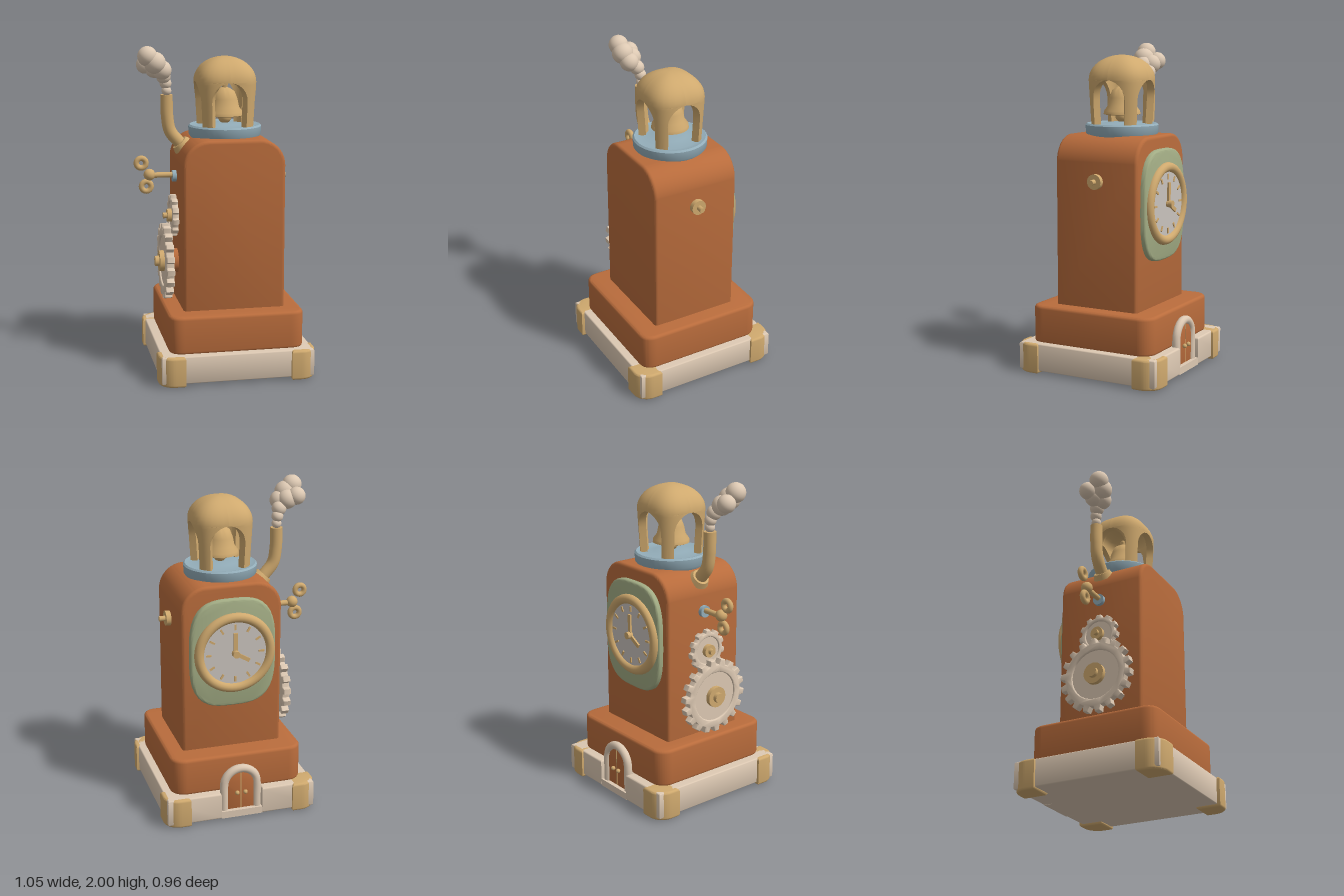
import * as THREE from 'three';
import { toCreasedNormals } from 'three/addons/utils/BufferGeometryUtils.js';

const C = 0.035; // x of the tower's axis

const paint = (name, color) => Object.assign(new THREE.MeshStandardMaterial({ color }), { name });

// Rounded rectangle; radii for the upper and lower corners
function roundRect(w, h, rt, rb = rt) {
  const s = new THREE.Shape(), x = w / 2, y = h / 2;
  s.moveTo(-x + rb, -y);
  s.lineTo(x - rb, -y);
  s.quadraticCurveTo(x, -y, x, -y + rb);
  s.lineTo(x, y - rt);
  s.absarc(x - rt, y - rt, rt, 0, Math.PI / 2, false);
  s.lineTo(-x + rt, y);
  s.absarc(-x + rt, y - rt, rt, Math.PI / 2, Math.PI, false);
  s.lineTo(-x, -y + rb);
  s.quadraticCurveTo(-x, -y, -x + rb, -y);
  return s;
}

// Centred extrusion along z whose bevel stays inside the outline
function slab(shape, depth, bevel) {
  const g = new THREE.ExtrudeGeometry(shape, {
    depth: depth - 2 * bevel, bevelEnabled: true, bevelThickness: bevel,
    bevelSize: bevel, bevelOffset: -bevel, bevelSegments: 4, curveSegments: 14,
  });
  g.translate(0, 0, bevel - depth / 2);
  return toCreasedNormals(g, 0.7);
}
const upright = (shape, height, bevel) => slab(shape, height, bevel).rotateX(-Math.PI / 2);
const rodX = (r, len, r2 = r) => new THREE.CylinderGeometry(r, r2, len, 24).rotateZ(Math.PI / 2);
const lathe = (pts) => toCreasedNormals(
  new THREE.LatheGeometry(pts.map(([r, y]) => new THREE.Vector2(r, y)), 40), 0.7);

// Toothed wheel facing along x
function gearGeometry(radius, teeth, thick) {
  const s = new THREE.Shape(), step = Math.PI * 2 / teeth, root = radius * 0.86;
  for (let i = 0; i < teeth; i++) {
    [[0.05, root], [0.4, root], [0.52, radius], [0.93, radius]].forEach(([f, r], k) => {
      const a = (i + f) * step;
      s[i + k ? 'lineTo' : 'moveTo'](r * Math.cos(a), r * Math.sin(a));
    });
  }
  const hole = new THREE.Path();
  hole.absarc(0, 0, radius * 0.66, 0, Math.PI * 2, true);
  s.holes.push(hole);
  return slab(s, thick, 0.007).rotateY(-Math.PI / 2);
}

// One quarter of the bell cage: a leg widening into an arch and a dome sector
function cageQuarter() {
  const rows = [], n = 10, pos = [], idx = [];
  for (const y of [1.5, 1.58, 1.66, 1.69, 1.72, 1.745, 1.765, 1.777, 1.78]) {
    const t = Math.max(0, (y - 1.66) / 0.12);
    const w = Math.PI / 4 - 0.585 * Math.sqrt(Math.max(0, 1 - t * t));
    const hw = 0.17 + 0.015 * (y - 1.5) / 0.28;
    rows.push([hw, y, hw - 0.04, y, w]);
  }
  for (let i = 1; i <= 12; i++) {
    const a = i / 12 * Math.PI / 2, c = Math.cos(a), s = Math.sin(a);
    rows.push([0.185 * c, 1.78 + 0.15 * s, 0.145 * c, 1.78 + 0.11 * s, Math.PI / 4]);
  }
  const put = (r, y, a) => {
    const k = r / Math.pow(Math.abs(Math.cos(a)) ** 3 + Math.abs(Math.sin(a)) ** 3, 1 / 3);
    pos.push(k * Math.cos(a), y, k * Math.sin(a));
  };
  for (const [ro, yo, ri, yi, w] of rows) {
    for (let j = 0; j < n; j++) put(ro, yo, Math.PI / 4 + w * (2 * j / (n - 1) - 1));
    for (let j = 0; j < n; j++) put(ri, yi, Math.PI / 4 + w * (1 - 2 * j / (n - 1)));
  }
  const m = 2 * n;
  for (let i = 0; i < rows.length - 1; i++) {
    for (let j = 0; j < m; j++) {
      const a = i * m + j, b = i * m + (j + 1) % m;
      idx.push(a, a + m, b, b, a + m, b + m);
    }
  }
  const g = new THREE.BufferGeometry();
  g.setAttribute('position', new THREE.Float32BufferAttribute(pos, 3));
  g.setIndex(idx);
  return toCreasedNormals(g, 0.7);
}

export function createModel() {
  const model = new THREE.Group();
  model.name = 'clockTower';
  const brown = paint('copper brown', 0xb96c3c), brass = paint('brass', 0xcfa96e);
  const cream = paint('cream', 0xdcc8b2), green = paint('sage green', 0xa3ad85);
  const blue = paint('grey blue', 0x93adb9), grey = paint('dial grey', 0xc9c3bd);
  const add = (name, geo, mat, x = 0, y = 0, z = 0) => {
    const m = new THREE.Mesh(geo, mat);
    m.name = name;
    m.position.set(x, y, z);
    model.add(m);
    return m;
  };

  // Plinth with a doorway notch at the back, and four corner caps
  const plan = new THREE.Shape();
  [[-0.467, -0.462], [0.467, -0.462], [0.467, 0.468], [0.13, 0.468], [0.13, 0.42],
    [-0.13, 0.42], [-0.13, 0.468], [-0.467, 0.468]].forEach(([x, y], i) => plan[i ? 'lineTo' : 'moveTo'](x, y));
  add('plinth', upright(plan, 0.17, 0.012), cream, C, 0.1, 0);
  add('doorSill', new THREE.BoxGeometry(0.262, 0.045, 0.06), cream, C, 0.038, -0.437);
  const cap = new THREE.Shape();
  cap.moveTo(0.325, 0.325);
  cap.lineTo(0.482, 0.325);
  cap.lineTo(0.482, 0.385);
  cap.absarc(0.385, 0.385, 0.097, 0, Math.PI / 2, false);
  cap.lineTo(0.325, 0.482);
  const capGeo = upright(cap, 0.185, 0.015);
  for (let i = 0; i < 4; i++) add('cornerCap', capGeo, brass, C, 0.0925, 0).rotation.y = i * Math.PI / 2;

  // Brown blocks
  add('lowerBlock', upright(roundRect(0.83, 0.825, 0.09), 0.235, 0.02), brown, 0.04, 0.295, 0);
  add('tower', slab(roundRect(0.625, 1.06, 0.16, 0.015), 0.555, 0.02), brown, 0.0425, 0.92, 0.005);

  // Arched door
  const door = new THREE.Shape();
  door.moveTo(-0.1, 0.05);
  door.lineTo(0.1, 0.05);
  door.lineTo(0.1, 0.22);
  door.absarc(0, 0.22, 0.1, 0, Math.PI, false);
  add('door', slab(door, 0.03, 0.004), brown, C, 0, -0.425);
  add('doorSeam', new THREE.BoxGeometry(0.006, 0.24, 0.004), brass, C, 0.18, -0.44);
  const frame = [[-0.105, 0.04], [-0.105, 0.13], [-0.105, 0.21]];
  for (let i = 1; i <= 8; i++) {
    const a = Math.PI * (1 - i / 8);
    frame.push([0.105 * Math.cos(a), 0.22 + 0.105 * Math.sin(a)]);
  }
  frame.push([0.105, 0.13], [0.105, 0.04]);
  const framePath = new THREE.CatmullRomCurve3(frame.map(([x, y]) => new THREE.Vector3(x, y, 0)));
  add('doorFrame', new THREE.TubeGeometry(framePath, 48, 0.026, 12), cream, C, 0, -0.43);
  for (const s of [-1, 1]) add('doorKnob', new THREE.SphereGeometry(0.014, 14, 10), brass, C + s * 0.026, 0.17, -0.45);

  // Clock: backing plate, dial, rim, marks and hands
  const plate = new THREE.Shape();
  for (let i = 0; i < 56; i++) {
    const a = i / 56 * Math.PI * 2, c = Math.cos(a), s = Math.sin(a);
    const k = Math.pow(Math.abs(c) ** 3.2 + Math.abs(s) ** 3.2, -1 / 3.2);
    plate[i ? 'lineTo' : 'moveTo'](0.268 * k * c, 0.34 * k * s);
  }
  const Y = 1.035;
  add('clockPlate', slab(plate, 0.06, 0.018), green, 0.042, 1.03, -0.275);
  add('dial', new THREE.CylinderGeometry(0.22, 0.22, 0.02, 48).rotateX(Math.PI / 2), grey, C, Y, -0.305);
  add('clockRim', new THREE.TorusGeometry(0.222, 0.03, 14, 56), brass, C, Y, -0.306);
  for (let i = 0; i < 12; i++) {
    const a = i * Math.PI / 6;
    add('hourMark', new THREE.BoxGeometry(0.012, 0.034, 0.008), brass,
      C + 0.165 * Math.sin(a), Y + 0.165 * Math.cos(a), -0.317).rotation.z = -a;
  }
  const hand = (name, len, a) => {
    const g = new THREE.BoxGeometry(0.024, len, 0.012).translate(0, len / 2 - 0.02, 0);
    add(name, g, brass, C, Y, -0.324).rotation.z = a;
  };
  hand('minuteHand', 0.15, 0);
  hand('hourHand', 0.12, 2.1);
  add('handPin', new THREE.CylinderGeometry(0.022, 0.022, 0.045, 20).rotateX(Math.PI / 2), brass, C, Y, -0.328);

  // Bell stage, cage and bell
  add('bellStage', lathe([[0, 1.43], [0.205, 1.43], [0.222, 1.455], [0.225, 1.505], [0.215, 1.515],
    [0.17, 1.505], [0.1, 1.518], [0, 1.526]]), blue, C);
  const quarter = cageQuarter();
  for (let i = 0; i < 4; i++) add('bellCage', quarter, brass, C).rotation.y = i * Math.PI / 2;
  add('bell', lathe([[0, 1.585], [0.1, 1.565], [0.113, 1.57], [0.11, 1.59], [0.088, 1.62], [0.078, 1.67],
    [0.06, 1.715], [0.03, 1.735], [0.017, 1.74], [0.02, 1.765], [0.012, 1.775], [0, 1.776]]), brass, C);
  add('clapper', new THREE.SphereGeometry(0.042, 20, 14), brass, C, 1.56, 0);

  // Chimney pipe, its collar and open mouth
  const bend = new THREE.CatmullRomCurve3([[-0.2, 1.36], [-0.255, 1.415], [-0.305, 1.48], [-0.322, 1.57], [-0.325, 1.7]]
    .map(([x, y]) => new THREE.Vector3(x, y, 0)));
  add('chimney', new THREE.TubeGeometry(bend, 30, 0.038, 20), brass);
  add('chimneyMouth', new THREE.CylinderGeometry(0.038, 0.038, 0.006, 20), brass, -0.325, 1.698, 0);
  add('chimneyCollar', new THREE.CylinderGeometry(0.052, 0.066, 0.035, 24), brass, -0.236, 1.395, 0).rotation.z = 0.75;

  // Steam puffs
  [[-0.45, 1.94, 0.085, 0.06], [-0.455, 1.885, 0.01, 0.055], [-0.405, 1.9, 0.08, 0.066], [-0.36, 1.855, 0.06, 0.058],
    [-0.4, 1.865, 0.025, 0.06], [-0.345, 1.815, 0.015, 0.045], [-0.33, 1.77, 0, 0.036], [-0.325, 1.725, 0, 0.03]]
    .forEach(([x, y, z, r]) => add('steamPuff', new THREE.SphereGeometry(r, 22, 16), cream, x, y, z));

  // Winding key
  add('keyCollar', rodX(0.036, 0.03), blue, -0.28, 1.2, 0);
  add('keyShaft', rodX(0.017, 0.14), brass, -0.355, 1.208, 0);
  add('keyHub', new THREE.SphereGeometry(0.036, 18, 14), brass, -0.435, 1.212, 0);
  for (const [x, y] of [[-0.485, 1.285], [-0.455, 1.14]]) {
    add('keyLoop', new THREE.TorusGeometry(0.03, 0.017, 12, 24), brass, x, y, 0);
  }

  // Gears with hubs on the side wall
  const gear = (name, r, teeth, thick, x, y, z) => {
    add(name, gearGeometry(r, teeth, thick), cream, x, y, z);
    add(name + 'Disc', rodX(r * 0.68, thick * 0.55), cream, x, y, z);
  };
  gear('largeGear', 0.235, 18, 0.05, -0.342, 0.67, 0.022);
  add('largeGearMount', rodX(0.075, 0.06), brown, -0.295, 0.67, 0.022);
  add('largeGearHub', rodX(0.065, 0.035), brass, -0.367, 0.67, 0.022);
  add('largeGearPin', rodX(0.032, 0.05), brass, -0.385, 0.67, 0.022);
  gear('smallGear', 0.13, 11, 0.04, -0.292, 0.955, 0.01);
  add('smallGearHub', rodX(0.04, 0.03), brass, -0.315, 0.955, 0.01);
  add('smallGearPin', rodX(0.018, 0.06), brass, -0.325, 0.955, 0.01);

  // Bolt on the opposite wall
  add('boltHead', rodX(0.046, 0.03), brass, 0.37, 1.185, 0);
  add('boltTip', rodX(0.016, 0.07), brass, 0.387, 1.185, 0);

  return model;
}
